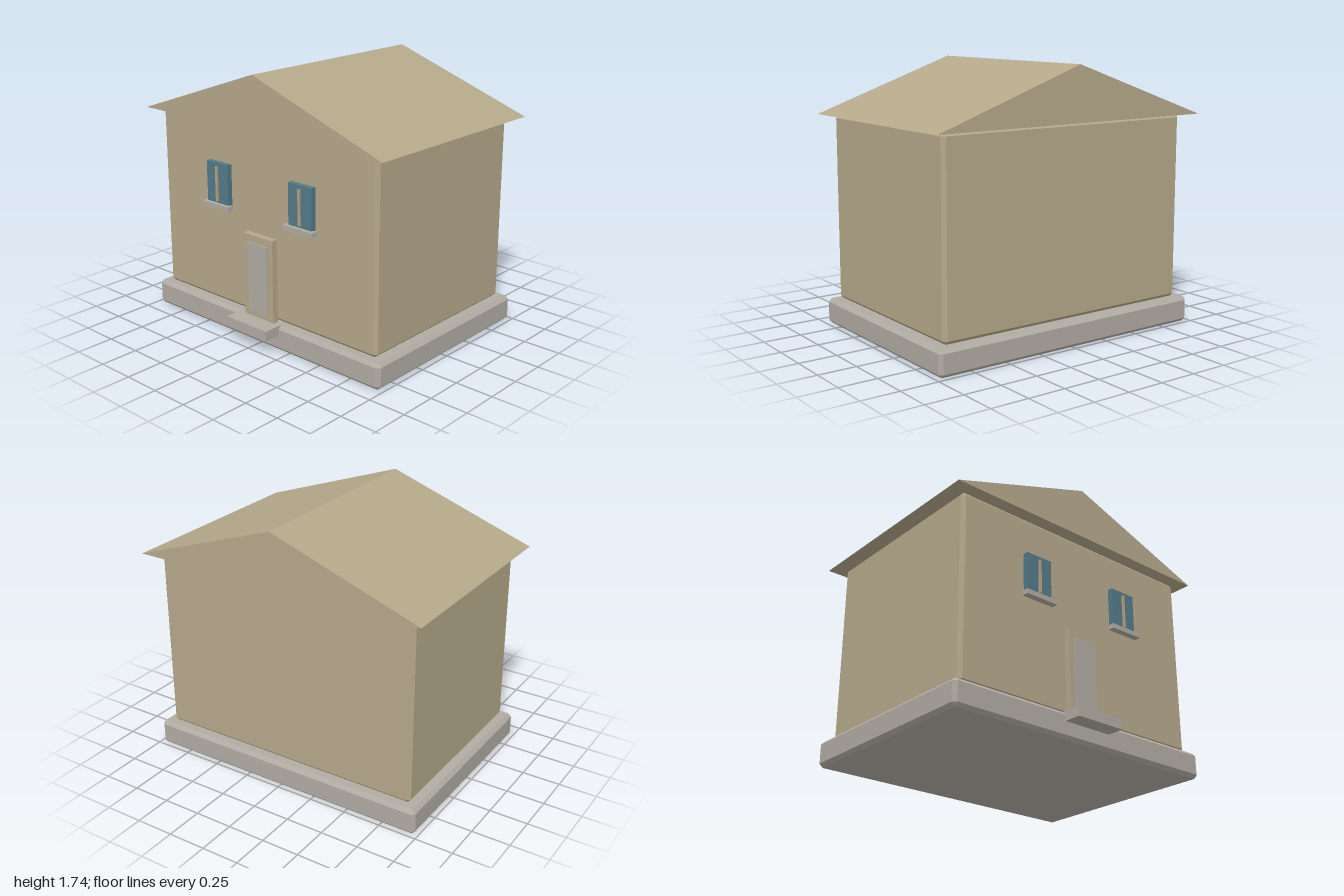
import * as THREE from 'three';
import { ConvexGeometry } from 'three/addons/geometries/ConvexGeometry.js';

const material = (name, color) => {
  const m = new THREE.MeshStandardMaterial({ color });
  m.name = name;
  return m;
};

// Box with every edge cut at 45 degrees, centred on its origin
function chamferedBox(w, h, d, c) {
  const points = [];
  for (const sx of [-1, 1]) for (const sy of [-1, 1]) for (const sz of [-1, 1]) {
    const x = w / 2, y = h / 2, z = d / 2;
    points.push(
      new THREE.Vector3(sx * x, sy * (y - c), sz * (z - c)),
      new THREE.Vector3(sx * (x - c), sy * y, sz * (z - c)),
      new THREE.Vector3(sx * (x - c), sy * (y - c), sz * z)
    );
  }
  return new ConvexGeometry(points);
}

export function createModel() {
  const house = new THREE.Group();
  house.name = 'house';

  const plaster = material('sandPlaster', 0xb5a88a);
  const stone = material('greyStone', 0xb0aaa2);
  const glass = material('blueGlass', 0x527a88);
  const wood = material('tanWood', 0xb8a27e);

  // Adds a block given by its extents on each axis
  function block(parent, name, mat, [x0, x1], [y0, y1], [z0, z1], chamfer = 0) {
    const size = [x1 - x0, y1 - y0, z1 - z0];
    const geometry = chamfer ? chamferedBox(...size, chamfer) : new THREE.BoxGeometry(...size);
    const mesh = new THREE.Mesh(geometry, mat);
    mesh.name = name;
    mesh.position.set((x0 + x1) / 2, (y0 + y1) / 2, (z0 + z1) / 2);
    parent.add(mesh);
  }

  // Plinth and walls
  block(house, 'foundation', stone, [-0.98, 0.98], [0, 0.17], [-0.735, 0.65], 0.023);
  block(house, 'walls', plaster, [-0.915, 0.915], [0.17, 1.392], [-0.68, 0.6], 0.023);

  // Gable roof
  const gable = new THREE.Shape([
    new THREE.Vector2(-1, 1.392),
    new THREE.Vector2(1, 1.392),
    new THREE.Vector2(0, 1.74),
  ]);
  const roof = new THREE.Mesh(
    new THREE.ExtrudeGeometry(gable, { depth: 1.43, bevelEnabled: false }), plaster);
  roof.name = 'roof';
  roof.position.z = -0.763;
  house.add(roof);

  // Front door with frame and step
  block(house, 'doorFrame', plaster, [-0.125, 0.125], [0.17, 0.72], [0.605, 0.645]);
  block(house, 'door', stone, [-0.084, 0.084], [0.205, 0.668], [0.64, 0.653]);
  block(house, 'doorStep', stone, [-0.175, 0.175], [0.107, 0.171], [0.59, 0.763]);

  // Pair of windows
  for (const side of [-1, 1]) {
    const win = new THREE.Group();
    win.name = side > 0 ? 'leftWindow' : 'rightWindow';
    win.position.x = side * 0.358;
    block(win, 'pane', glass, [-0.095, 0.095], [0.855, 1.127], [0.607, 0.642]);
    block(win, 'mullion', wood, [-0.008, 0.008], [0.876, 1.102], [0.64, 0.654]);
    block(win, 'sill', stone, [-0.118, 0.118], [0.83, 0.862], [0.623, 0.667]);
    house.add(win);
  }

  return house;
}
